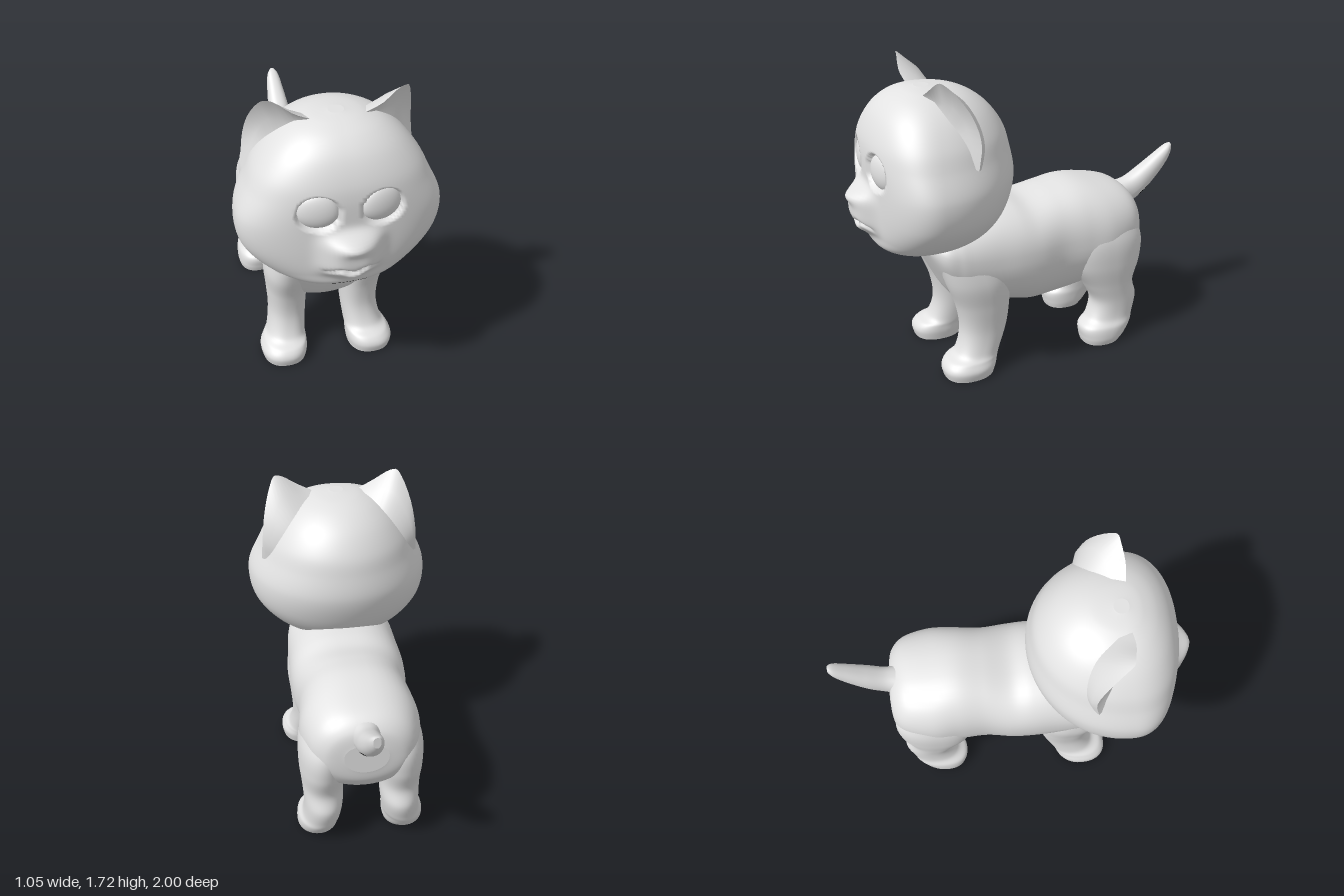
import * as THREE from 'three';

const material = (name, color) => {
  const m = new THREE.MeshStandardMaterial({ color, side: THREE.DoubleSide });
  m.name = name;
  return m;
};
const fur = material('pale grey fur', 0xe2e2e2);
const dark = material('black marking', 0x080808);

function add(parent, name, geometry, material = fur) {
  const mesh = new THREE.Mesh(geometry, material);
  mesh.name = name;
  parent.add(mesh);
  return mesh;
}

// Adds a skin whose faces inside the marked region are black
function addMarked(parent, name, geometry, inside) {
  const p = geometry.attributes.position, id = geometry.index.array, plain = [], marked = [];
  for (let i = 0; i < id.length; i += 3) {
    const t = [id[i], id[i + 1], id[i + 2]];
    const mean = f => t.reduce((s, k) => s + f(k), 0) / 3;
    const hit = inside(Math.abs(mean(k => p.getX(k))), mean(k => p.getY(k)), mean(k => p.getZ(k)));
    (hit ? marked : plain).push(...t);
  }
  geometry.setIndex([...plain, ...marked]);
  geometry.addGroup(0, plain.length, 0);
  geometry.addGroup(plain.length, marked.length, 1);
  return add(parent, name, geometry, [fur, dark]);
}

// Catmull-Rom blend of whole section rows
function sectionAt(rows, t) {
  const i = Math.min(Math.floor(t), rows.length - 2), f = t - i;
  const r = k => rows[Math.max(0, Math.min(rows.length - 1, k))];
  const [a, b, c, d] = [r(i - 1), r(i), r(i + 1), r(i + 2)];
  return b.map((v, k) => v + 0.5 * f * (c[k] - a[k]
    + f * (2 * a[k] - 5 * v + 4 * c[k] - d[k] + f * (3 * (v - c[k]) + d[k] - a[k]))));
}

// Skin over sections [position, centre x, half width, low, middle, high], stacked along y or z
function loft(rows, axis, { seg = 48, sub = 8, power = 2.3, warp } = {}) {
  const pos = [], idx = [], n = (rows.length - 1) * sub;
  const tri = (a, b, c) => (axis === 'y' ? idx.push(a, c, b) : idx.push(a, b, c));
  const bend = (v, p) => Math.sign(v) * Math.abs(v) ** (2 / p);
  for (let j = 0; j <= n; j++) {
    const [t, cx, w, lo, mid, hi] = sectionAt(rows, j / sub);
    for (let i = 0; i < seg; i++) {
      const a = i / seg * Math.PI * 2, s = Math.sin(a);
      const p = s > 0 ? power : 2.05;
      const x = cx + w * bend(Math.cos(a), p);
      const q = mid + bend(s, p) * (s > 0 ? hi - mid : mid - lo);
      const v = axis === 'y' ? [x, t, q] : [x, q, t];
      if (warp) warp(v);
      pos.push(...v);
      if (j < n) {
        const k = j * seg + i, m = j * seg + (i + 1) % seg;
        tri(k, m, m + seg);
        tri(k, m + seg, k + seg);
      }
    }
  }
  // flat end caps with their own corners
  for (const j of [0, n]) {
    const start = pos.length / 3, [t, cx, , , mid] = sectionAt(rows, j / sub);
    pos.push(...pos.slice(j * seg * 3, (j + 1) * seg * 3));
    pos.push(...(axis === 'y' ? [cx, t, mid] : [cx, mid, t]));
    for (let i = 0; i < seg; i++) {
      const a = start + i, b = start + (i + 1) % seg;
      if (j) tri(a, b, start + seg); else tri(b, a, start + seg);
    }
  }
  return finish(pos, idx);
}

function finish(pos, idx) {
  const g = new THREE.BufferGeometry();
  g.setAttribute('position', new THREE.Float32BufferAttribute(pos, 3));
  g.setIndex(idx);
  g.computeVertexNormals();
  return g;
}

// Sheet stretched over a few curves; flip turns its front to the other side
function sheet(curves, flip, n = 20) {
  const pos = [], idx = [];
  curves.forEach((pts, j) => {
    const c = new THREE.CatmullRomCurve3(pts.map(p => new THREE.Vector3(...p)));
    c.getPoints(n).forEach(p => pos.push(p.x, p.y, p.z));
    if (j) for (let i = 0; i < n; i++) {
      const a = (j - 1) * (n + 1) + i, b = a + n + 1;
      if (flip) idx.push(a, a + 1, b, a + 1, b + 1, b);
      else idx.push(a, b, a + 1, a + 1, b, b + 1);
    }
  });
  return finish(pos, idx);
}

const bump = (d, s) => Math.exp(-((d / s) ** 2));

// Muzzle, nose, mouth and eye sockets pressed into the face
function face(v) {
  const [x, y, z] = v;
  if (z < 0.68) return;
  const ax = Math.abs(x);
  const front = THREE.MathUtils.smoothstep(z, 0.7, 0.82);
  let d = 0.085 * Math.exp(-((ax / 0.145) ** 4) - (Math.abs(y - 1.01) / 0.11) ** 4);
  d += 0.033 * bump(x, 0.07) * bump(y - 1.08, 0.035);
  d += 0.04 * bump(x, 0.07) * bump(y - 0.89, 0.035);
  const lip = 0.935 - 0.012 * Math.cos(ax * 48);
  d -= 0.03 * Math.exp(-((ax / 0.13) ** 8)) * bump(y - lip, 0.014);
  const ey = y - 1.235;
  const q = Math.hypot((ax - 0.16) / 0.108, ey / (ey > 0 ? 0.105 : 0.088));
  d -= 0.032 * (1 - THREE.MathUtils.smoothstep(q, 0.88, 1.04));
  v[2] += d * front;
}

export function createModel() {
  const kitten = new THREE.Group();
  kitten.name = 'kitten';

  add(kitten, 'body', loft([
    [-0.695, 0, 0.12, 0.58, 0.68, 0.76], [-0.675, 0, 0.22, 0.5, 0.66, 0.84],
    [-0.6, 0, 0.29, 0.41, 0.66, 0.905], [-0.45, 0, 0.33, 0.36, 0.64, 0.945],
    [-0.3, 0, 0.32, 0.31, 0.64, 0.965], [-0.15, 0, 0.31, 0.285, 0.64, 0.945],
    [0, 0, 0.33, 0.28, 0.64, 0.915], [0.12, 0, 0.335, 0.31, 0.64, 0.93],
    [0.25, 0, 0.33, 0.34, 0.64, 0.93], [0.4, 0, 0.325, 0.36, 0.66, 0.9],
    [0.48, 0, 0.315, 0.43, 0.69, 0.88], [0.56, 0, 0.285, 0.58, 0.73, 0.84],
    [0.63, 0, 0.18, 0.72, 0.77, 0.8],
  ], 'z', { power: 2.4 }));

  addMarked(kitten, 'tail', loft([
    [-1, 0, 0.02, 1.0, 1.035, 1.065], [-0.97, 0, 0.038, 0.95, 1.01, 1.055],
    [-0.9, 0, 0.052, 0.87, 0.94, 1.01], [-0.8, 0, 0.065, 0.78, 0.86, 0.945],
    [-0.7, 0, 0.07, 0.725, 0.8, 0.89], [-0.6, 0, 0.09, 0.7, 0.79, 0.87],
  ], 'z'), (ax, y, z) => Math.abs(z + 0.805) < 0.035 && Math.abs(y - 0.805 + (z + 0.805) * 0.6) < 0.012);

  const head = new THREE.Group();
  head.name = 'head';
  kitten.add(head);
  // black patch lies under the chin
  addMarked(head, 'skull and face', loft([
    [0.74, 0, 0.1, 0.45, 0.6, 0.66], [0.765, 0, 0.21, 0.35, 0.6, 0.75],
    [0.8, 0, 0.31, 0.3, 0.6, 0.865], [0.88, 0, 0.425, 0.2, 0.61, 0.885],
    [1, 0, 0.51, 0.13, 0.62, 0.89], [1.15, 0, 0.523, 0.09, 0.63, 0.89],
    [1.3, 0, 0.46, 0.11, 0.61, 0.89], [1.4, 0, 0.41, 0.14, 0.59, 0.87],
    [1.5, 0, 0.33, 0.21, 0.57, 0.82], [1.57, 0, 0.24, 0.3, 0.56, 0.75],
    [1.61, 0, 0.14, 0.4, 0.56, 0.67], [1.625, 0, 0.04, 0.52, 0.56, 0.6],
  ], 'y', { seg: 192, sub: 14, power: 2.35, warp: face }),
  (ax, y, z) => z > 0.64 && y > 0.752 && y < 0.808 && ax < 0.102 - Math.max(0, 0.785 - y) * 1.5);

  for (const side of [1, -1]) {
    const label = side > 0 ? 'left' : 'right';
    const m = pts => pts.map(([x, y, z]) => [x * side, y, z]);

    // eyeball, flatter below its middle
    const ball = new THREE.SphereGeometry(1, 32, 24);
    const p = ball.attributes.position;
    for (let i = 0; i < p.count; i++) if (p.getY(i) < 0) p.setY(i, p.getY(i) * 0.86);
    ball.scale(0.107, 0.102, 0.042);
    ball.computeVertexNormals();
    const eye = add(head, label + ' eye', ball);
    eye.position.set(side * 0.16, 1.235, 0.838);
    eye.rotation.y = side * 0.2;

    // ear: hollow front and rounded back meeting at a sharp rim
    const rim = m([[0.13, 1.605, 0.6], [0.22, 1.65, 0.605], [0.31, 1.712, 0.585], [0.35, 1.72, 0.575],
      [0.38, 1.68, 0.53], [0.42, 1.56, 0.45], [0.44, 1.42, 0.41], [0.45, 1.28, 0.43]]);
    add(head, label + ' ear front', sheet([rim,
      m([[0.15, 1.58, 0.58], [0.24, 1.59, 0.55], [0.32, 1.58, 0.51], [0.38, 1.48, 0.46], [0.43, 1.3, 0.46]]),
      m([[0.15, 1.54, 0.6], [0.22, 1.52, 0.58], [0.3, 1.46, 0.55], [0.36, 1.4, 0.52], [0.4, 1.3, 0.5]])], side < 0));
    add(head, label + ' ear back', sheet([rim,
      m([[0.12, 1.59, 0.54], [0.22, 1.62, 0.51], [0.31, 1.63, 0.47], [0.38, 1.53, 0.41], [0.42, 1.4, 0.385], [0.43, 1.28, 0.41]]),
      m([[0.12, 1.55, 0.48], [0.2, 1.52, 0.41], [0.28, 1.46, 0.37], [0.35, 1.36, 0.36], [0.4, 1.26, 0.39]])], side > 0));

    // legs with paws; a small mark sits behind each front leg
    const leg = rows => loft(rows.map(r => r.map((v, k) => (k === 1 ? v * side : v))), 'y', { power: 2.4 });
    addMarked(kitten, label + ' front leg', leg([
      [0, 0.25, 0.122, 0.29, 0.43, 0.575], [0.05, 0.25, 0.13, 0.275, 0.43, 0.585],
      [0.09, 0.24, 0.12, 0.26, 0.42, 0.56], [0.13, 0.225, 0.107, 0.24, 0.37, 0.495],
      [0.25, 0.21, 0.103, 0.19, 0.33, 0.46], [0.4, 0.21, 0.112, 0.17, 0.32, 0.48],
      [0.55, 0.215, 0.12, 0.17, 0.34, 0.535], [0.7, 0.2, 0.11, 0.2, 0.38, 0.58],
    ]), (ax, y, z) => z < 0.24 && Math.abs(y - 0.245) < 0.03 && Math.abs(ax - 0.235) < 0.014);
    add(kitten, label + ' hind leg', leg([
      [0, 0.245, 0.105, -0.53, -0.42, -0.3], [0.04, 0.245, 0.115, -0.57, -0.43, -0.29],
      [0.1, 0.24, 0.115, -0.61, -0.45, -0.287], [0.15, 0.225, 0.105, -0.63, -0.49, -0.34],
      [0.25, 0.215, 0.108, -0.655, -0.5, -0.37], [0.36, 0.215, 0.115, -0.63, -0.48, -0.32],
      [0.5, 0.215, 0.128, -0.67, -0.46, -0.24], [0.65, 0.205, 0.13, -0.675, -0.46, -0.22],
      [0.8, 0.18, 0.1, -0.6, -0.45, -0.3]]));
  }
  return kitten;
}
